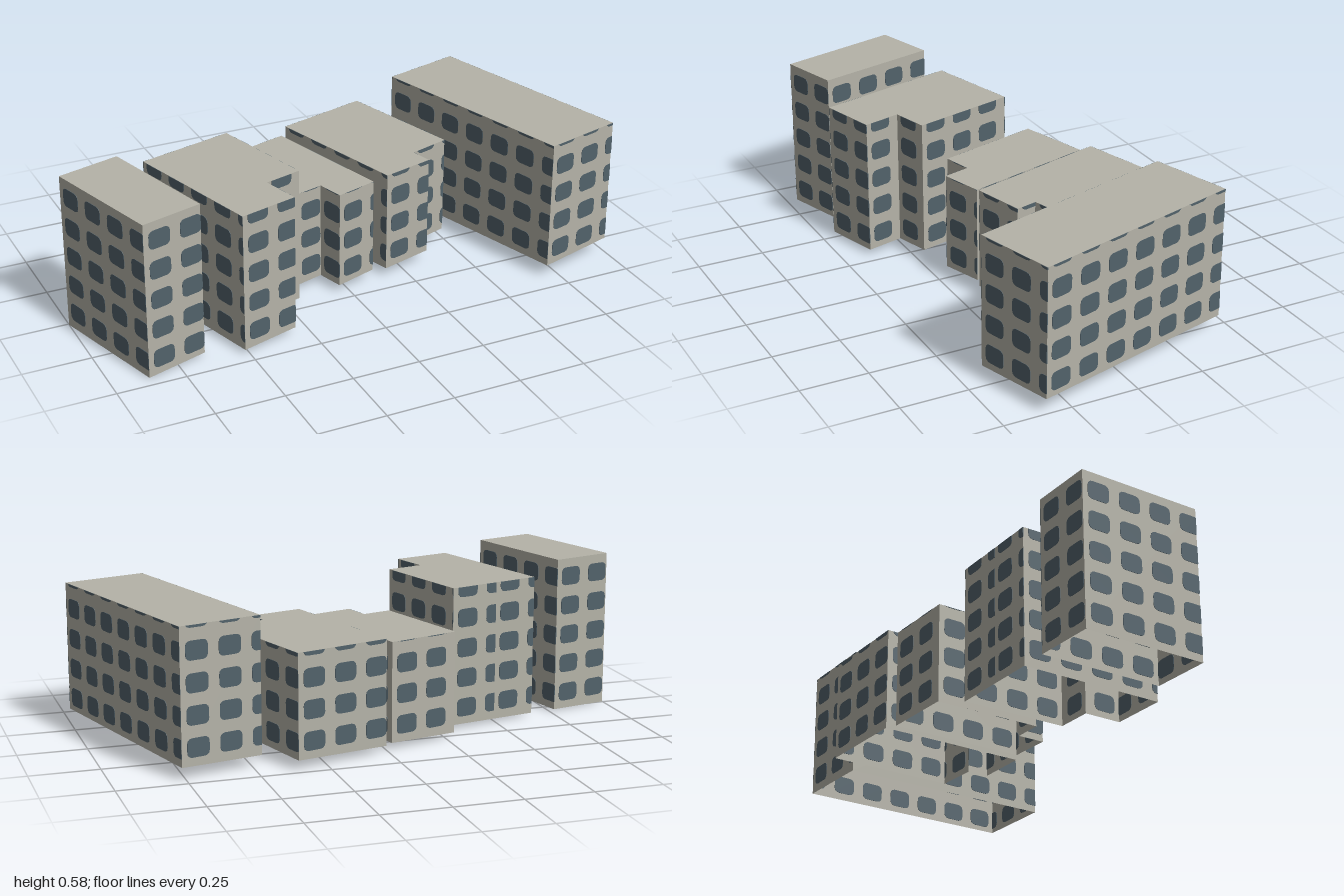
import * as THREE from 'three';
import { mergeGeometries } from 'three/addons/utils/BufferGeometryUtils.js';

// Footprints as [x, z], running front left, front right, back right, back left
const BLOCKS = [
  { name: 'farLeftBlock', top: 0.583, plan: [[-0.87, 0.463], [-0.645, 0.4], [-0.77, -0.06], [-1, 0.005]] },
  { name: 'leftBlock', top: 0.53, plan: [[-0.515, 0.45], [-0.3, 0.393], [-0.34, 0.252], [-0.203, 0.215],
    [-0.31, -0.18], [-0.495, -0.13], [-0.665, -0.085]] },
  { name: 'middleBlock', top: 0.392, plan: [[-0.172, 0.128], [-0.065, 0.1], [-0.037, 0.2], [0.12, 0.153],
    [-0.02, -0.345], [-0.285, -0.267]] },
  { name: 'rightBlock', top: 0.413, plan: [[0.168, 0.168], [0.363, 0.117], [0.342, 0.037], [0.497, -0.01],
    [0.36, -0.473], [0.01, -0.373]] },
  { name: 'farRightBlock', top: 0.532, plan: [[0.7, 0.427], [1, 0.345], [0.765, -0.465], [0.465, -0.38]] },
];

// Window grid measured from the start of each wall and the foot of the block
const STEP_X = 0.128, STEP_Y = 0.112, WIN_W = 0.086, WIN_H = 0.068, RADIUS = 0.018;
const GAP_X = 0.021, GAP_Y = 0.028, PLATE = 0.003;

// Gently sloping ground under the blocks
const ground = ([x, z]) => Math.max(0, 0.027 * (x + 1) + 0.005 * z);

// Rounded window pane, cut off where it would pass the wall's end or top
function paneGeometry(x0, y0, maxX, maxY) {
  const corners = [[1, 1], [-1, 1], [-1, -1], [1, -1]];
  const points = [];
  corners.forEach(([sx, sy], i) => {
    for (let k = 0; k <= 3; k++) {
      const a = (i + k / 3) * Math.PI / 2;
      const x = x0 + WIN_W / 2 + sx * (WIN_W / 2 - RADIUS) + Math.cos(a) * RADIUS;
      const y = y0 + WIN_H / 2 + sy * (WIN_H / 2 - RADIUS) + Math.sin(a) * RADIUS;
      const p = new THREE.Vector2(Math.min(x, maxX), Math.min(y, maxY));
      const last = points[points.length - 1];
      if (!last || last.distanceTo(p) > 1e-5) points.push(p);
    }
  });
  const pane = new THREE.ExtrudeGeometry(new THREE.Shape(points), { depth: PLATE, bevelEnabled: false });
  return pane.translate(0, 0, -PLATE / 2);
}

function buildBlock({ name, top, plan }, wallMaterial, windowMaterial) {
  const block = new THREE.Group();
  block.name = name;
  const walls = [], panes = [];
  const foot = plan.reduce((sum, p) => sum + ground(p), 0) / plan.length;

  plan.forEach((a, i) => {
    const b = plan[(i + 1) % plan.length];
    const dx = b[0] - a[0], dz = b[1] - a[1], length = Math.hypot(dx, dz);
    const place = new THREE.Matrix4().makeRotationY(Math.atan2(-dz, dx)).setPosition(a[0], 0, a[1]);

    // Wall from the sloping ground up to the flat roof
    const outline = new THREE.Shape([
      new THREE.Vector2(0, ground(a)), new THREE.Vector2(length, ground(b)),
      new THREE.Vector2(length, top), new THREE.Vector2(0, top),
    ]);
    walls.push(new THREE.ShapeGeometry(outline).applyMatrix4(place));

    // Rows and columns of panes
    for (let x = GAP_X; x < length - 0.004; x += STEP_X) {
      for (let y = foot + GAP_Y; y < top - 0.003; y += STEP_Y) {
        panes.push(paneGeometry(x, y, length, top - 0.0005).applyMatrix4(place));
      }
    }
  });

  const roofShape = new THREE.Shape(plan.map(([x, z]) => new THREE.Vector2(x, -z)));
  const roof = new THREE.ShapeGeometry(roofShape).rotateX(-Math.PI / 2).translate(0, top, 0);

  const add = (part, geometry, material) => {
    const mesh = new THREE.Mesh(geometry, material);
    mesh.name = part;
    block.add(mesh);
  };
  add('walls', mergeGeometries(walls), wallMaterial);
  add('roof', roof, wallMaterial);
  add('windows', mergeGeometries(panes), windowMaterial);
  return block;
}

export function createModel() {
  const wallMaterial = new THREE.MeshStandardMaterial({ color: 0xb5b3a8, side: THREE.DoubleSide });
  wallMaterial.name = 'concrete grey';
  const windowMaterial = new THREE.MeshStandardMaterial({ color: 0x52626b });
  windowMaterial.name = 'window blue grey';

  const model = new THREE.Group();
  model.name = 'apartmentBlocks';
  BLOCKS.forEach((block) => model.add(buildBlock(block, wallMaterial, windowMaterial)));
  return model;
}
